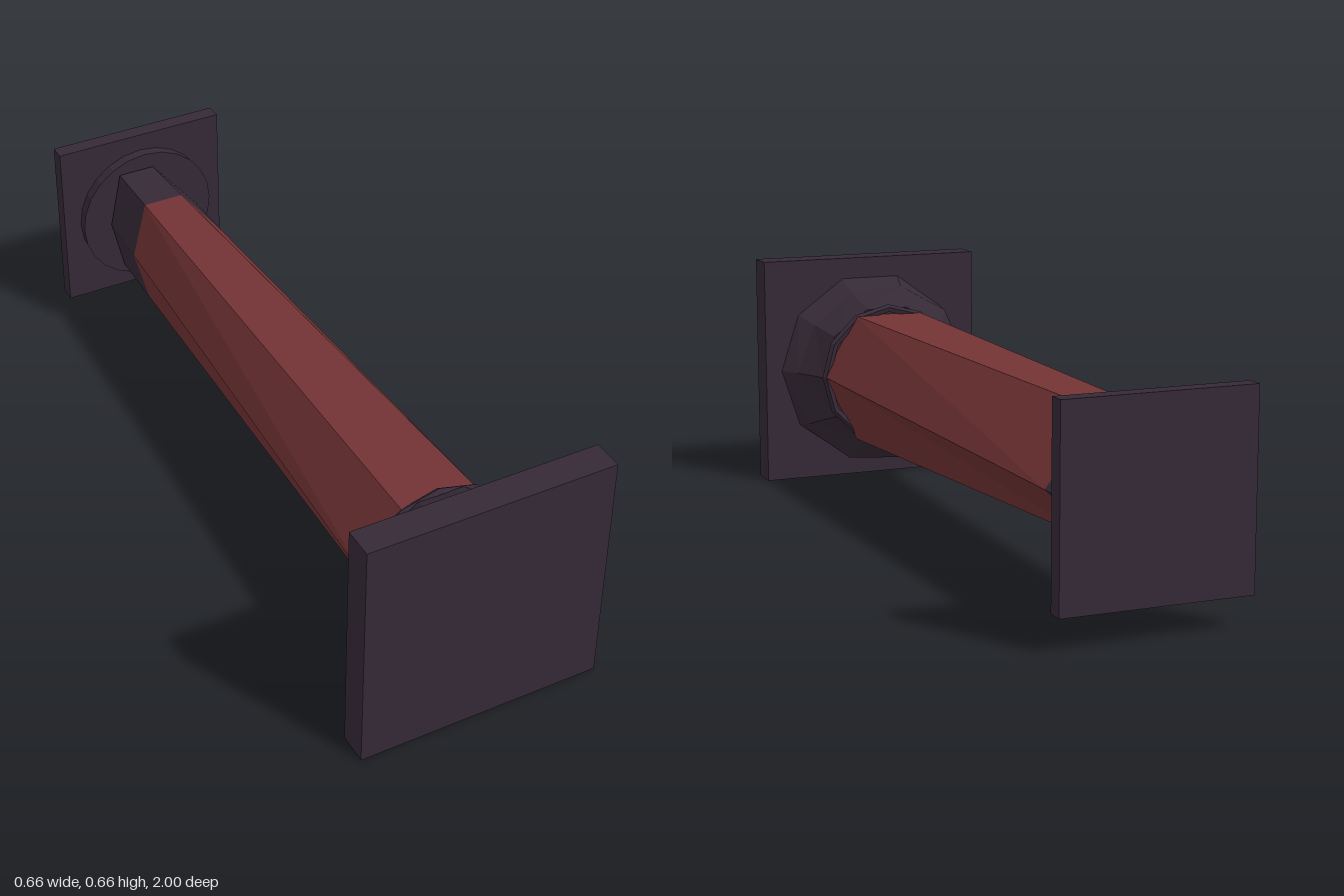
import * as THREE from 'three';

const CY = 0.333; // height of the column axis

// Faceted skin over rings that run counter-clockwise, ordered from +z to -z
function loft(rings, capEnd = false) {
  const pos = [];
  const n = rings[0].length;
  for (let k = 0; k < rings.length - 1; k++) {
    const r = rings[k], s = rings[k + 1];
    for (let i = 0; i < n; i++) {
      const j = (i + 1) % n;
      pos.push(...r[i], ...s[i], ...r[j], ...r[j], ...s[i], ...s[j]);
    }
  }
  if (capEnd) {
    const s = rings[rings.length - 1];
    for (let i = 1; i < n - 1; i++) pos.push(...s[0], ...s[i + 1], ...s[i]);
  }
  const geo = new THREE.BufferGeometry();
  geo.setAttribute('position', new THREE.Float32BufferAttribute(pos, 3));
  geo.computeVertexNormals();
  return geo;
}

// Ring whose radius depends on the angle
function ring(n, z, radius) {
  return Array.from({ length: n }, (_, i) => {
    const a = (i / n) * Math.PI * 2;
    const r = radius(a);
    return [r * Math.cos(a), CY + r * Math.sin(a), z];
  });
}

export function createModel() {
  const group = new THREE.Group();
  const stone = new THREE.MeshStandardMaterial({ color: 0x352936 });
  const red = new THREE.MeshStandardMaterial({ color: 0x733335 });
  stone.name = 'dark stone';
  red.name = 'dark red';
  stone.flatShading = red.flatShading = true;

  const add = (name, geo, mat, x = 0, y = 0, z = 0) => {
    const mesh = new THREE.Mesh(geo, mat);
    mesh.name = name;
    mesh.position.set(x, y, z);
    group.add(mesh);
    return mesh;
  };

  // Square end plates
  add('basePlate', new THREE.BoxGeometry(0.664, 0.664, 0.083), stone, 0, 0.332, 0.9585);
  add('topPlate', new THREE.BoxGeometry(0.5, 0.5, 0.045), stone, 0, 0.335, -0.9775);

  // Round disc under the top plate
  const disc = new THREE.CylinderGeometry(0.2, 0.203, 0.036, 24);
  disc.rotateX(-Math.PI / 2);
  add('topDisc', disc, stone, 0, 0.335, -0.939);

  // Uneven six-sided shaft, tapering and leaning toward the top
  const low = [[0.2, 0.335], [0.1, 0.511], [-0.1, 0.511], [-0.198, 0.335], [-0.1, 0.139], [0.1, 0.139]];
  const high = [[0.163, 0.315], [0.02, 0.495], [-0.085, 0.495], [-0.12, 0.335], [-0.085, 0.18], [0.02, 0.18]];
  const z0 = 0.77, z1 = -0.914;
  const section = (z) => low.map((p, i) => {
    const t = (z0 - z) / (z0 - z1);
    return [p[0] + (high[i][0] - p[0]) * t, p[1] + (high[i][1] - p[1]) * t, z];
  });
  add('shaft', loft([section(z0), section(-0.735)]), red);
  add('shaftTopBand', loft([section(-0.735), section(z1)], true), stone);

  // Lopsided faceted foot, bulging on one side
  const bulge = (a) => 0.272 - 0.032 * Math.cos(a - Math.PI / 4);
  add('foot', loft([
    ring(10, 0.918, () => 0.284),
    ring(10, 0.868, bulge),
    ring(10, 0.768, () => 0.205),
  ], true), stone);

  // Rough collar where the shaft meets the foot
  const collar = new THREE.TorusGeometry(0.196, 0.012, 5, 12);
  add('collar', collar, stone, 0, CY, 0.761);

  return group;
}
